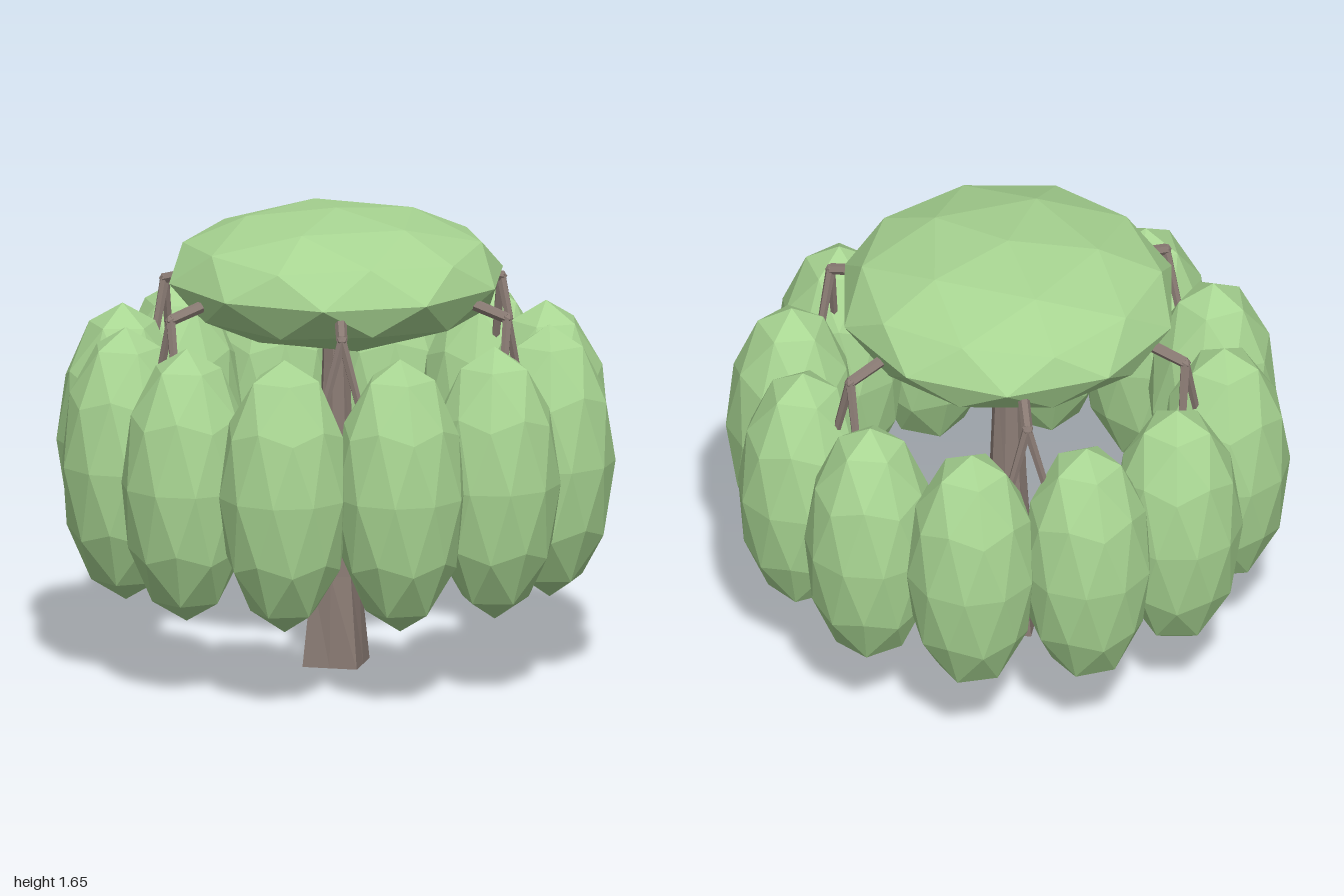
import * as THREE from 'three';

const leafMat = new THREE.MeshStandardMaterial({ color: 0xa8d592, flatShading: true });
const barkMat = new THREE.MeshStandardMaterial({ color: 0x8a7b74, flatShading: true });

// Faceted ball with one vertex at each pole, stretched to an ellipsoid
function leafBall(name, radius, halfHeight) {
  const geo = new THREE.IcosahedronGeometry(1, 1);
  geo.rotateZ(Math.atan(2 / (1 + Math.sqrt(5))));
  geo.rotateY(Math.PI);
  geo.scale(radius, halfHeight, radius);
  const mesh = new THREE.Mesh(geo, leafMat);
  mesh.name = name;
  return mesh;
}

// Tapered stick between two points
function stick(name, a, b, r0, r1) {
  const dir = b.clone().sub(a);
  const mesh = new THREE.Mesh(new THREE.CylinderGeometry(r1, r0, dir.length(), 6), barkMat);
  mesh.position.copy(a).addScaledVector(dir, 0.5);
  mesh.quaternion.setFromUnitVectors(new THREE.Vector3(0, 1, 0), dir.normalize());
  mesh.name = name;
  return mesh;
}

// Flared trunk: a diamond at the foot that becomes an octagon higher up
function makeTrunk() {
  const profile = [[0, 0], [0.14, 0], [0.1, 0.33], [0.07, 0.65], [0.05, 1.1], [0.045, 1.4], [0, 1.4]]
    .map(([r, y]) => new THREE.Vector2(r, y));
  const geo = new THREE.LatheGeometry(profile, 8);
  const pos = geo.attributes.position;
  for (let i = 0; i < pos.count; i++) {
    const x = pos.getX(i), y = pos.getY(i), z = pos.getZ(i);
    const onDiagonal = Math.abs(x * z) > 1e-6;
    const k = onDiagonal ? THREE.MathUtils.lerp(0.71, 1, Math.min(y / 0.8, 1)) : 1;
    pos.setXYZ(i, x * k, y, z * k);
  }
  const trunk = new THREE.Mesh(geo, barkMat);
  trunk.name = 'trunk';
  return trunk;
}

export function createModel() {
  const tree = new THREE.Group();
  tree.name = 'tree';
  tree.add(makeTrunk());

  // Flat crown
  const crown = leafBall('crown', 0.61, 0.245);
  crown.position.y = 1.41;
  tree.add(crown);

  // Six drooping limbs, each forking into two hanging leaf clumps
  for (let i = 0; i < 6; i++) {
    const limb = new THREE.Group();
    limb.name = 'limb';
    limb.rotation.y = i * Math.PI / 3;

    const elbow = new THREE.Vector3(0.69, 1.325, 0);
    limb.add(stick('branch', new THREE.Vector3(0.05, 1.5, 0), elbow, 0.026, 0.02));
    const knuckle = new THREE.Mesh(new THREE.IcosahedronGeometry(0.021, 0), barkMat);
    knuckle.name = 'knuckle';
    knuckle.position.copy(elbow);
    limb.add(knuckle);

    for (const side of [-1, 1]) {
      limb.add(stick('twig', elbow, new THREE.Vector3(0.71, 1.0, side * 0.085), 0.018, 0.013));
      const clump = leafBall('leafClump', 0.235, 0.495);
      clump.position.set(0.75, 0.775, side * 0.205);
      clump.rotation.y = 0.16 - 0.05 * side;
      limb.add(clump);
    }
    tree.add(limb);
  }
  return tree;
}
